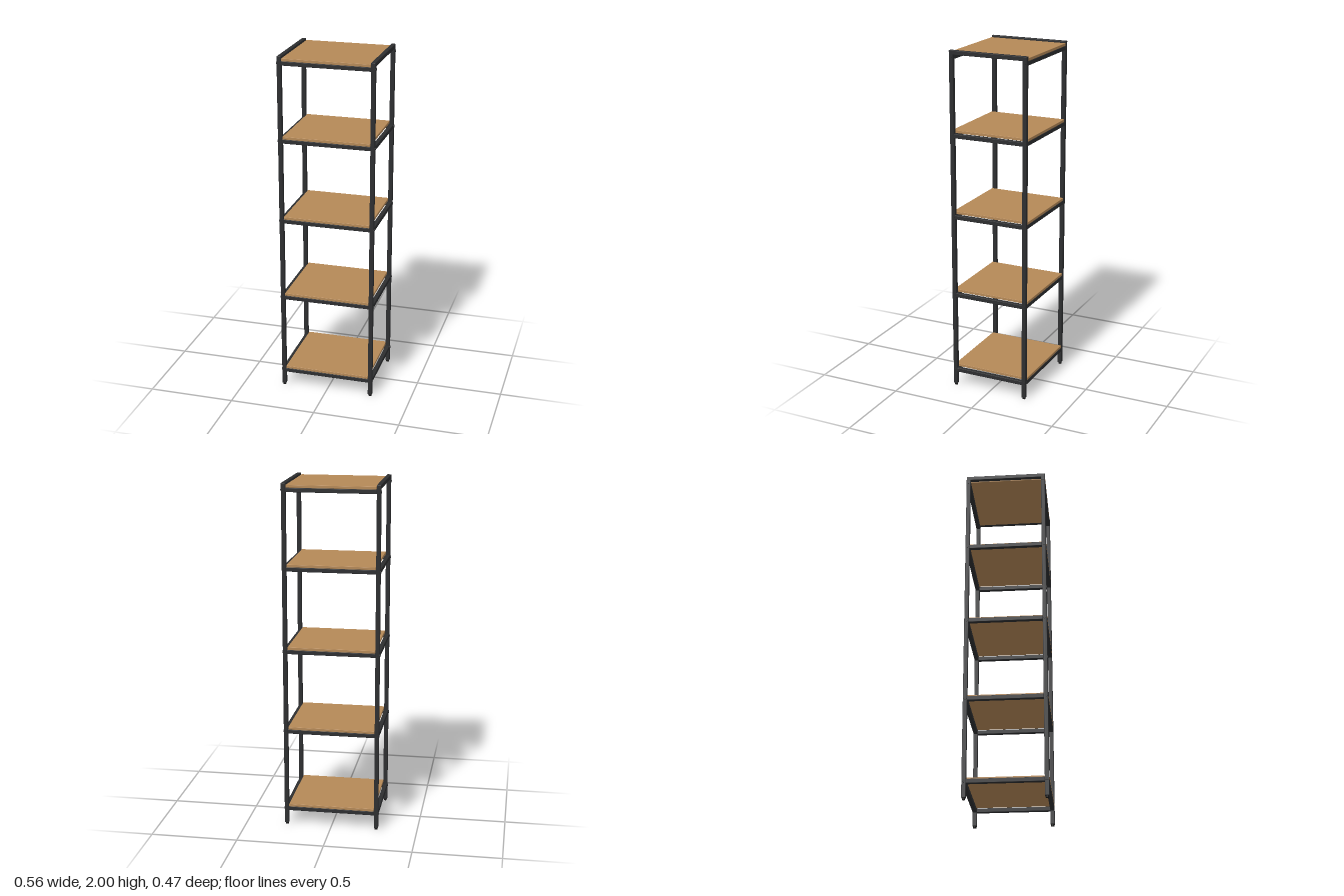
import * as THREE from 'three';
import { RoundedBoxGeometry } from 'three/addons/geometries/RoundedBoxGeometry.js';

const wood = new THREE.MeshStandardMaterial({ color: 0xb58957 });
wood.name = 'oak wood';
const metal = new THREE.MeshStandardMaterial({ color: 0x2d2e30 });
metal.name = 'dark metal';
const rubber = new THREE.MeshStandardMaterial({ color: 0x161616 });
rubber.name = 'black rubber';

const BAR = 0.024;       // square tube thickness
const PX = 0.263;        // post centre, x
const PZ = 0.221;        // post centre, z
const BOARD = 0.016;     // board thickness
const RAIL_Y = [0.1, 0.574, 1.048, 1.522, 1.962];

export function createModel() {
  const model = new THREE.Group();
  model.name = 'shelfUnit';

  const add = (name, geometry, material, x, y, z) => {
    const mesh = new THREE.Mesh(geometry, material);
    mesh.name = name;
    mesh.position.set(x, y, z);
    model.add(mesh);
    return mesh;
  };
  const box = (w, h, d, r = 0.003) => new RoundedBoxGeometry(w, h, d, 2, r);

  // Shared geometries
  const post = box(BAR, 1.985, BAR);
  const sideRail = box(BAR, BAR, 2 * PZ - BAR + 0.004);
  const topBar = box(BAR, BAR, 2 * PZ + BAR);
  const crossRail = box(2 * PX - BAR + 0.002, BAR, BAR);
  const board = box(0.497, BOARD, 0.465, 0.002);
  const foot = new THREE.CylinderGeometry(0.009, 0.009, 0.025, 16);
  const bolt = new THREE.CylinderGeometry(0.008, 0.008, 0.004, 16).rotateZ(Math.PI / 2);

  for (const sx of [-1, 1]) {
    // Corner posts with feet
    for (const sz of [-1, 1]) {
      add('post', post, metal, sx * PX, 0.01 + 1.985 / 2, sz * PZ);
      add('foot', foot, rubber, sx * PX, 0.0125, sz * PZ);
    }
    // Bar closing the top of each side frame
    add('topBar', topBar, metal, sx * PX, 2 - BAR / 2, 0);
  }

  RAIL_Y.forEach((y, i) => {
    // Front and back rails carrying the board
    for (const sz of [-1, 1]) {
      add('crossRail', crossRail, metal, 0, y, sz * PZ);
      // Bolt heads on the outside of the posts
      for (const sx of [-1, 1]) {
        add('bolt', bolt, metal, sx * (PX + BAR / 2 + 0.001), y, sz * PZ);
      }
    }
    // Side rails; the top shelf uses the top bars instead
    if (i < RAIL_Y.length - 1) {
      for (const sx of [-1, 1]) add('sideRail', sideRail, metal, sx * PX, y, 0);
    }
    add('shelfBoard', board, wood, 0, y + BAR / 2 + BOARD / 2, 0);
  });

  return model;
}
